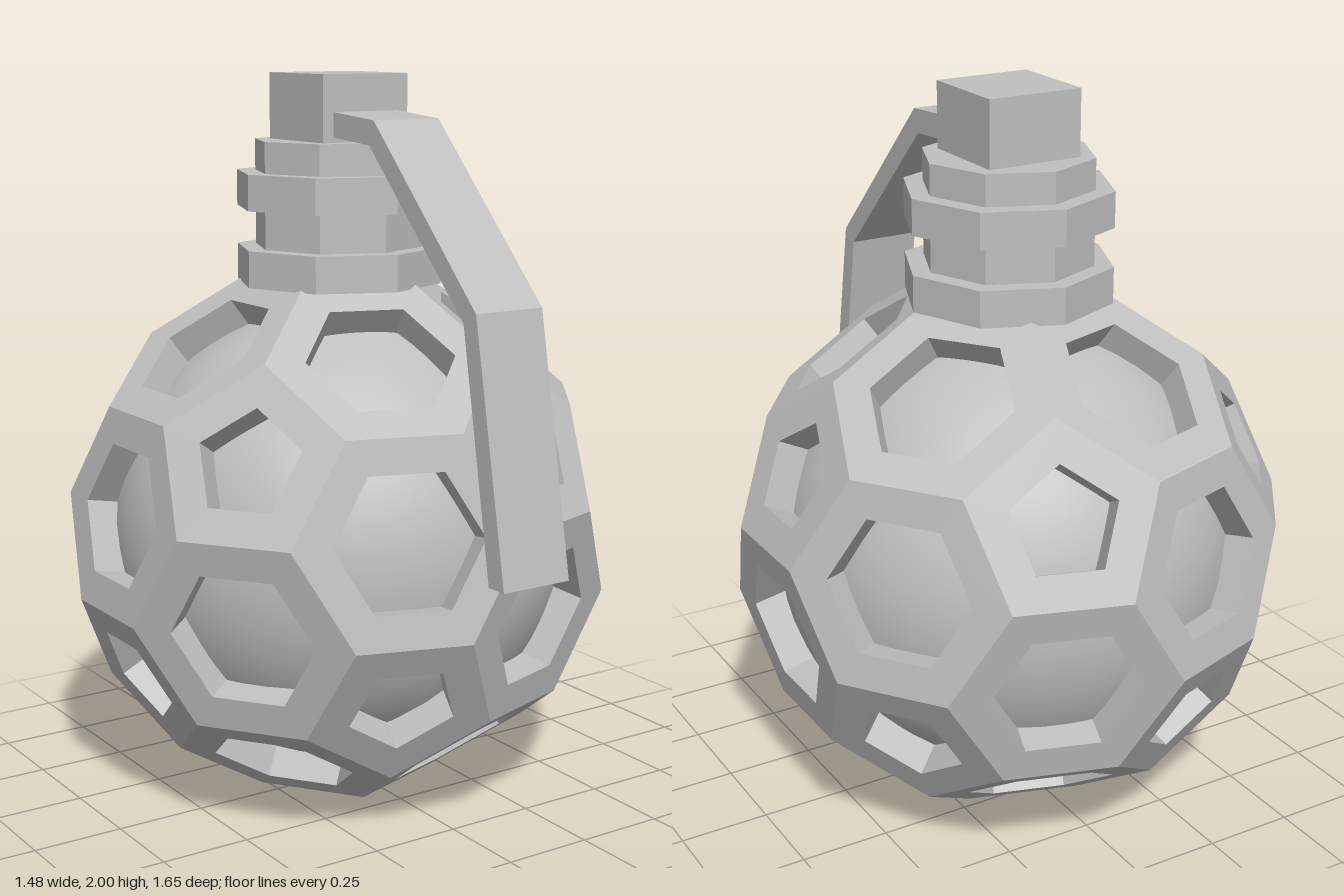
import * as THREE from 'three';

const EDGE = 0.31;          // edge of the pentagon and hexagon cells
const CENTRE_Y = 0.721;
const AXIS_Z = -0.065;
const STRIP = 0.093;        // width of the rim round each opening
const DEPTH = 0.1;          // depth of the opening walls

// Corners of an icosahedron standing on a point
function icosahedronCorners(radius) {
  const corners = [new THREE.Vector3(0, radius, 0), new THREE.Vector3(0, -radius, 0)];
  const y = radius / Math.sqrt(5);
  for (let i = 0; i < 5; i++) {
    const a = (i * 2 * Math.PI) / 5;
    const p = new THREE.Vector3(2 * y * Math.cos(a), y, 2 * y * Math.sin(a));
    corners.push(p, p.clone().negate());
  }
  return corners;
}

// Pentagon and hexagon outlines from cutting off the corners
function cellOutlines() {
  const V = icosahedronCorners(EDGE * 3 * 0.95106);
  const near = (a, b) => a !== b && a.distanceTo(b) < EDGE * 3.1;
  const cut = (a, b) => a.clone().lerp(b, 1 / 3);
  const cells = V.map((a) => V.filter((b) => near(a, b)).map((b) => cut(a, b)));
  for (let i = 0; i < 12; i++)
    for (let j = i + 1; j < 12; j++)
      for (let k = j + 1; k < 12; k++) {
        const [a, b, c] = [V[i], V[j], V[k]];
        if (near(a, b) && near(b, c) && near(a, c))
          cells.push([cut(a, b), cut(b, a), cut(b, c), cut(c, b), cut(c, a), cut(a, c)]);
      }
  return cells;
}

// Each cell becomes a flat rim with walls running inward
function frameGeometry() {
  const pos = [];
  const quad = (a, b, c, d) => [a, b, c, a, c, d].forEach((p) => pos.push(p.x, p.y, p.z));
  for (const pts of cellOutlines()) {
    const n = pts.length;
    const centre = pts.reduce((s, p) => s.add(p), new THREE.Vector3()).divideScalar(n);
    const normal = centre.clone().normalize();
    const u = pts[0].clone().sub(centre).normalize();
    const v = normal.clone().cross(u);
    const angle = (p) => {
      const d = p.clone().sub(centre);
      return Math.atan2(d.dot(v), d.dot(u));
    };
    pts.sort((p, q) => angle(p) - angle(q));
    const apothem = EDGE / (2 * Math.tan(Math.PI / n));
    const hole = pts.map((p) => centre.clone().lerp(p, 1 - STRIP / apothem));
    const deep = hole.map((p) => p.clone().addScaledVector(normal, -DEPTH));
    for (let i = 0; i < n; i++) {
      const j = (i + 1) % n;
      quad(pts[i], pts[j], hole[j], hole[i]);
      quad(hole[i], hole[j], deep[j], deep[i]);
    }
  }
  const g = new THREE.BufferGeometry();
  g.setAttribute('position', new THREE.Float32BufferAttribute(pos, 3));
  g.computeVertexNormals();
  return g;
}

export function createModel() {
  const model = new THREE.Group();
  const grey = new THREE.MeshStandardMaterial({ color: 0xbfbfbf });
  grey.name = 'grey';

  const add = (name, geometry, x, y, z) => {
    const mesh = new THREE.Mesh(geometry, grey);
    mesh.name = name;
    mesh.position.set(x, y, z);
    model.add(mesh);
    return mesh;
  };

  // Body: open cell frame round a smooth core
  add('cellFrame', frameGeometry(), 0, CENTRE_Y, AXIS_Z);
  add('core', new THREE.SphereGeometry(0.645, 48, 32), 0, CENTRE_Y, AXIS_Z);

  // Eight-sided neck with two collars
  const ring = (name, r, y0, y1) => {
    const g = new THREE.CylinderGeometry(r, r, y1 - y0, 8).toNonIndexed();
    g.computeVertexNormals();
    add(name, g, 0, (y0 + y1) / 2, AXIS_Z);
  };
  ring('neck', 0.235, 1.43, 1.82);
  ring('lowerCollar', 0.288, 1.43, 1.53);
  ring('upperCollar', 0.288, 1.637, 1.735);

  // Square cap
  add('cap', new THREE.BoxGeometry(0.272, 0.18, 0.272), 0, 1.91, AXIS_Z);

  // Bent lever: side profile drawn as (z, y), extruded across the width
  const profile = [
    [0.06, 1.902], [0.26, 1.887], [0.705, 1.44], [0.833, 0.765],
    [0.772, 0.765], [0.655, 1.41], [0.24, 1.822], [0.06, 1.835],
  ].map(([z, y]) => new THREE.Vector2(z, y));
  const leverGeometry = new THREE.ExtrudeGeometry(new THREE.Shape(profile), {
    depth: 0.206, bevelEnabled: false,
  });
  leverGeometry.rotateY(-Math.PI / 2);
  add('lever', leverGeometry, 0.103, 0, 0);

  return model;
}
